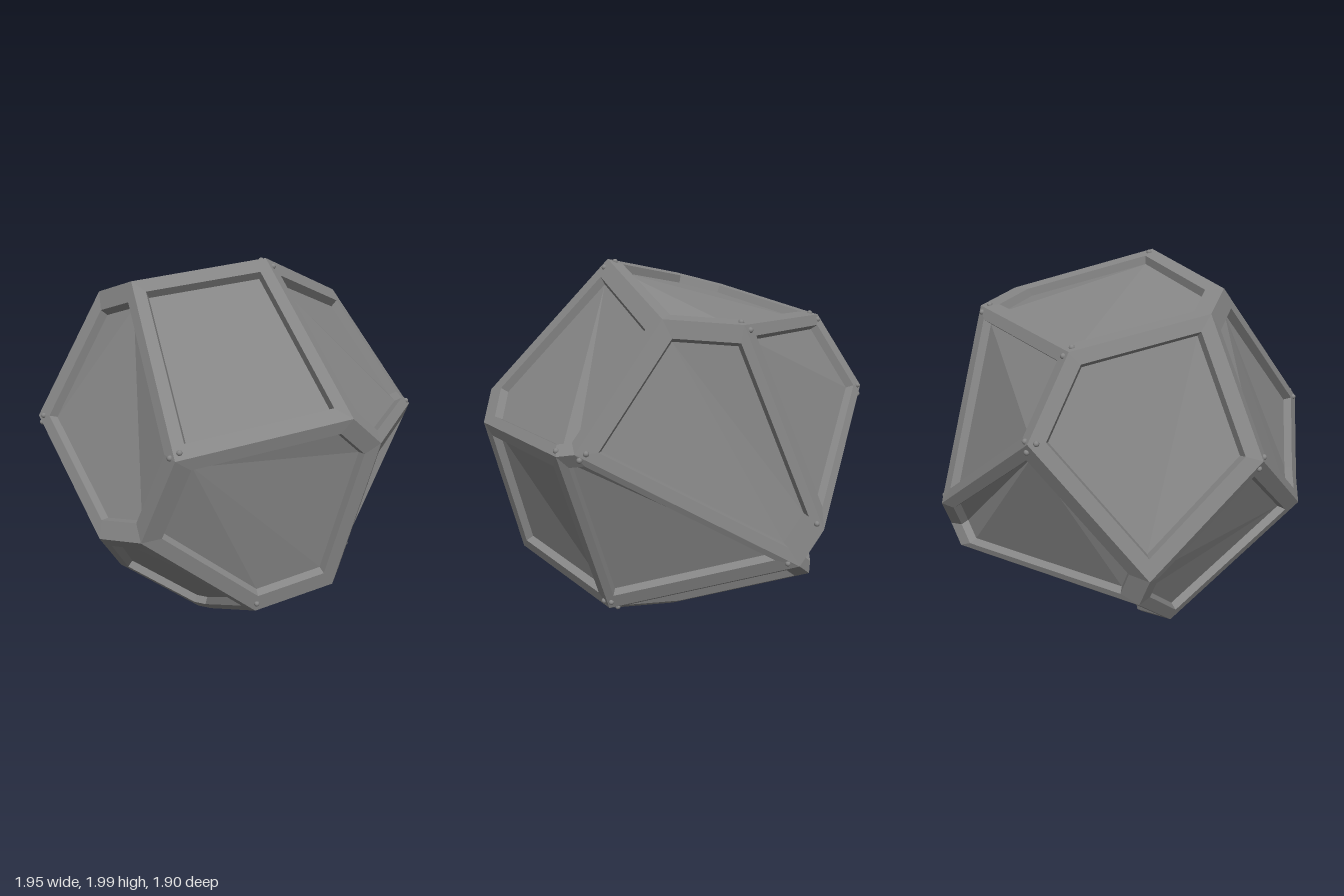
import * as THREE from 'three';

// Corners of the irregular faceted ball
const corners = {
  A: [0.30, 2.00, 0.12], B: [-0.25, 1.89, 0.48], C: [-0.51, 1.82, 0.41],
  D: [-0.77, 1.70, -0.22], E: [-0.03, 1.75, -0.76], F: [0.32, 1.78, -0.64],
  G: [-0.36, 0.53, -0.87], H: [0.31, 1.18, 0.94], I: [0.89, 1.32, 0.35],
  J: [-0.74, 1.19, 0.66], K: [0.97, 1.18, 0.20], L: [0.82, 1.19, -0.60],
  M: [0.755, 1.21, -0.67], N: [0.12, 0.76, 0.95], O: [-0.14, 0.72, 0.93],
  P: [-0.56, 0.23, 0.25], Q: [-0.91, 0.52, 0.10], R: [-0.975, 0.68, 0.15],
  S: [-0.95, 1.33, -0.39], T: [-0.38, 0.78, -0.95], U: [-0.26, 0.61, -0.94],
  V: [0.775, 0.44, 0.26], W: [0.49, 0.335, 0.53], X: [0.53, 0.33, -0.45],
  Y: [-0.05, 0.01, 0.08], Z: [-0.13, 0.01, 0.09],
};

// Each facet: its corners, then the corners that carry a rivet
const facets = [
  ['ABCDEF', 'ADE'], ['HIAB', 'H'], ['BCJONH', 'JH'], ['AIKLMF', 'AL'],
  ['CDSRJ', 'S'], ['HIKVWN', 'W'], ['KLXV', 'X'], ['ONWYZP', ''],
  ['OJRQP', 'J'], ['EDST', 'EDS'], ['FETUM', 'MT'], ['LMUX', 'MUX'],
  ['SRQGUT', 'S'], ['XUGY', 'X'], ['GQPZY', ''], ['VXYW', ''],
];

const RIM = 0.155;     // share of the facet taken by the frame
const BEVEL = 0.18;    // where the sloping wall meets the panel
const DEPTH = 0.04;    // panel recess
const centre = new THREE.Vector3(0, 1, 0);
const material = new THREE.MeshStandardMaterial({ color: 0x868686, flatShading: true });
const rivetMaterial = new THREE.MeshStandardMaterial({ color: 0x868686 });

function meshFrom(points, name) {
  const geometry = new THREE.BufferGeometry().setFromPoints(points);
  geometry.computeVertexNormals();
  const mesh = new THREE.Mesh(geometry, material);
  mesh.name = name;
  return mesh;
}

// Band of quads between two rings with equal point counts
function band(outer, inner) {
  return outer.flatMap((p, i) => {
    const j = (i + 1) % outer.length;
    return [p, outer[j], inner[j], p, inner[j], inner[i]];
  });
}

function facet(keys, rivetKeys) {
  const group = new THREE.Group();
  group.name = 'facet';
  const at = (key) => new THREE.Vector3(...corners[key]);
  let ring = [...keys].map(at);
  const middle = ring.reduce((sum, p) => sum.add(p), new THREE.Vector3()).divideScalar(ring.length);

  // Average normal, turned outward; the first corner stays first
  const normal = new THREE.Vector3();
  ring.forEach((p, i) => {
    const q = ring[(i + 1) % ring.length];
    normal.add(p.clone().sub(middle).cross(q.clone().sub(middle)));
  });
  normal.normalize();
  if (normal.dot(middle.clone().sub(centre)) < 0) {
    normal.negate();
    ring = [ring[0], ...ring.slice(1).reverse()];
  }

  const inset = (t, drop) => ring.map((p) => p.clone().lerp(middle, t).addScaledVector(normal, -drop));
  const lip = inset(RIM, 0);
  const floor = inset(BEVEL, DEPTH);

  // Raised frame with sloping wall, and sunken panel fanned from its first corner
  group.add(meshFrom([...band(ring, lip), ...band(lip, floor)], 'frame'));
  group.add(meshFrom(floor.slice(1, -1).flatMap((p, i) => [floor[0], p, floor[i + 2]]), 'panel'));

  // Rivets on the frame corners
  for (const key of rivetKeys) {
    const rivet = new THREE.Mesh(new THREE.SphereGeometry(0.014, 10, 8), rivetMaterial);
    rivet.name = 'rivet';
    rivet.position.copy(at(key).lerp(middle, 0.075));
    group.add(rivet);
  }
  return group;
}

export function createModel() {
  const model = new THREE.Group();
  model.name = 'panelledBall';
  facets.forEach(([keys, rivets]) => model.add(facet(keys, rivets)));
  return model;
}
